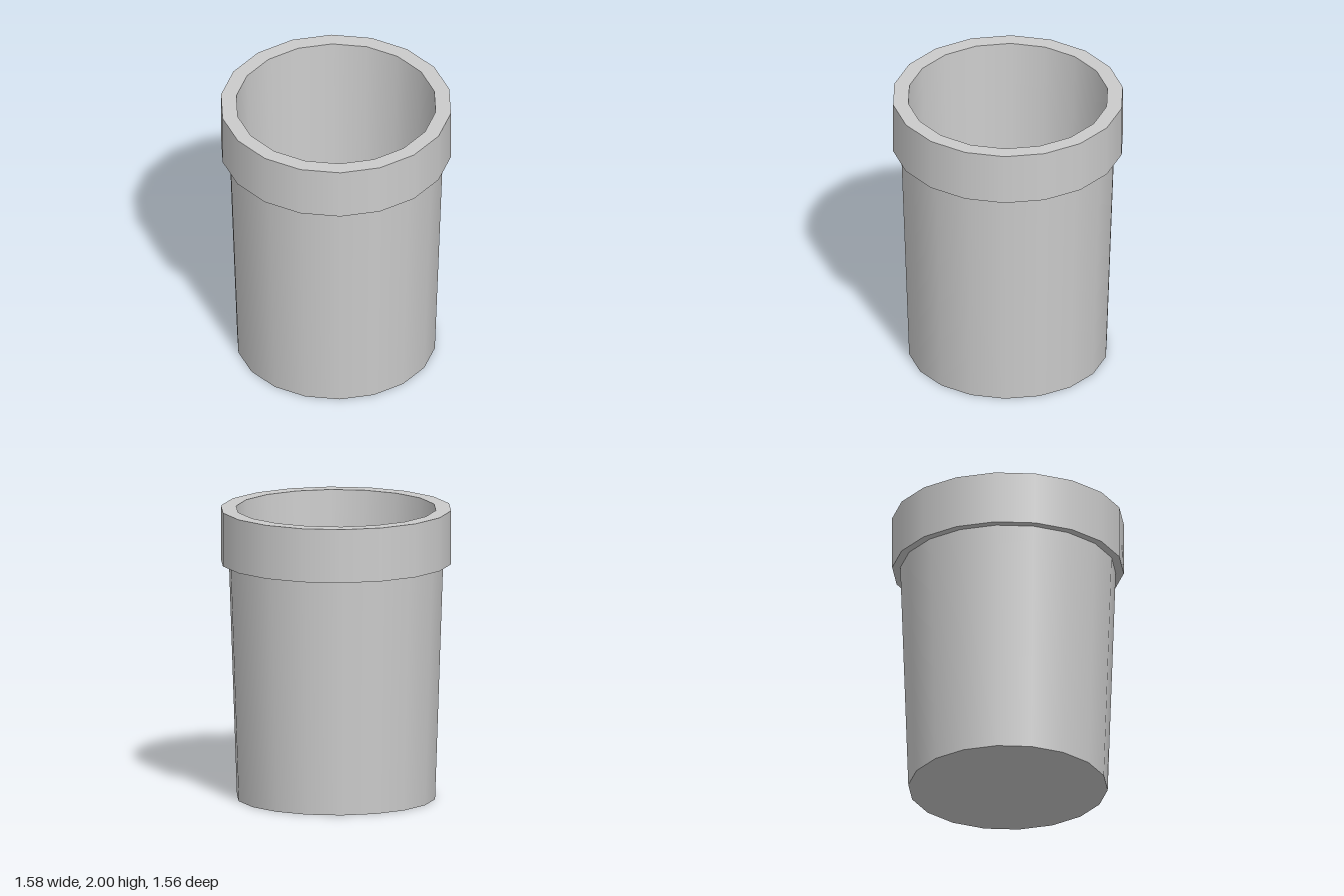
import * as THREE from 'three';

const SIDES = 18;
const material = new THREE.MeshStandardMaterial({ color: 0xcccccc });

// One ring of the pot between two [radius, height] points; corners between rings stay sharp
function band(name, from, to) {
  const points = [new THREE.Vector2(...from), new THREE.Vector2(...to)];
  const mesh = new THREE.Mesh(new THREE.LatheGeometry(points, SIDES, Math.PI / 2), material);
  mesh.name = name;
  return mesh;
}

// Flat disc facing up or down
function disc(name, radius, y, up) {
  const geometry = new THREE.CircleGeometry(radius, SIDES);
  geometry.rotateX(up ? -Math.PI / 2 : Math.PI / 2);
  const mesh = new THREE.Mesh(geometry, material);
  mesh.name = name;
  mesh.position.y = y;
  return mesh;
}

export function createModel() {
  const pot = new THREE.Group();
  pot.name = 'flowerPot';

  // Tapered body
  const body = new THREE.Group();
  body.name = 'body';
  body.add(
    disc('base', 0.68, 0, false),
    band('outerWall', [0.68, 0], [0.735, 1.63]),
    band('innerWall', [0.685, 2], [0.62, 0.065]),
    disc('innerFloor', 0.62, 0.065, true),
  );

  // Straight collar around the top
  const rim = new THREE.Group();
  rim.name = 'rim';
  rim.add(
    band('rimUnderside', [0.735, 1.63], [0.79, 1.63]),
    band('rimSide', [0.79, 1.63], [0.79, 2]),
    band('rimTop', [0.79, 2], [0.685, 2]),
  );

  pot.add(body, rim);
  return pot;
}
